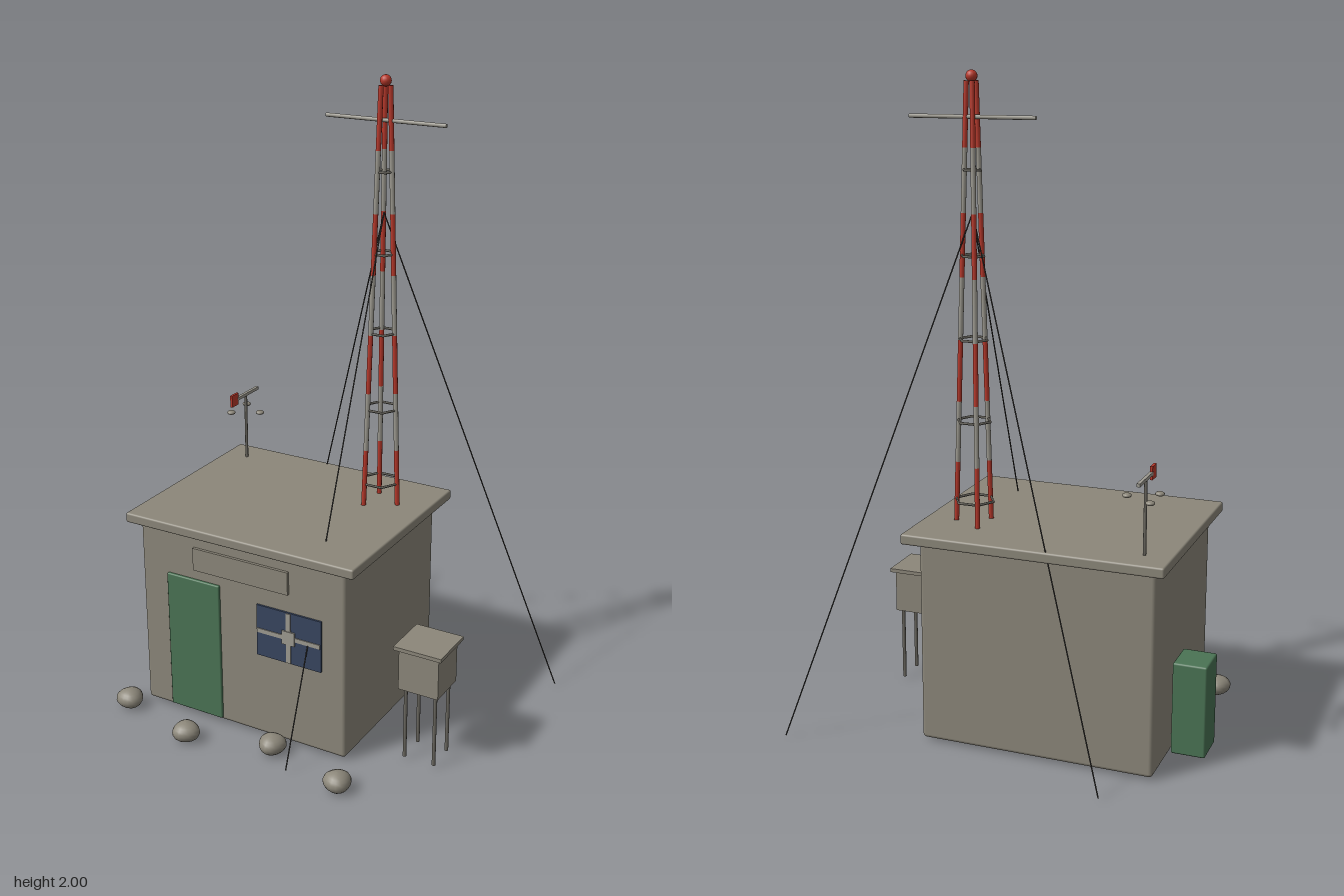
import * as THREE from 'three';
import { RoundedBoxGeometry } from 'three/addons/geometries/RoundedBoxGeometry.js';

const mat = (name, color) => {
  const m = new THREE.MeshStandardMaterial({ color });
  m.name = name;
  return m;
};

export function createModel() {
  const concrete = mat('concrete', 0x8c877a);
  const green = mat('green paint', 0x4a7354);
  const glass = mat('dark blue glass', 0x38455f);
  const red = mat('red paint', 0xb8382a);
  const pale = mat('pale steel', 0x9d9a90);
  const steel = mat('steel', 0x6b6860);
  const cable = mat('cable', 0x3c3a37);

  const model = new THREE.Group();
  model.name = 'weatherStation';

  const add = (name, geometry, material, parent = model) => {
    const mesh = new THREE.Mesh(geometry, material);
    mesh.name = name;
    parent.add(mesh);
    return mesh;
  };
  // Box from its limits, with an optional edge radius
  const box = (name, [x0, x1], [y0, y1], [z0, z1], material, r = 0, parent = model) => {
    const s = [x1 - x0, y1 - y0, z1 - z0];
    const g = r ? new RoundedBoxGeometry(...s, 2, r) : new THREE.BoxGeometry(...s);
    const mesh = add(name, g, material, parent);
    mesh.position.set((x0 + x1) / 2, (y0 + y1) / 2, (z0 + z1) / 2);
    return mesh;
  };
  // Round bar between two points
  const up = new THREE.Vector3(0, 1, 0);
  const bar = (name, a, b, r, material, parent = model, sides = 8) => {
    const dir = b.clone().sub(a);
    const mesh = add(name, new THREE.CylinderGeometry(r, r, dir.length(), sides), material, parent);
    mesh.position.copy(a).add(b).multiplyScalar(0.5);
    mesh.quaternion.setFromUnitVectors(up, dir.normalize());
    return mesh;
  };
  const v = (x, y, z) => new THREE.Vector3(x, y, z);

  // Hut
  box('walls', [-0.51, 0.22], [0.01, 0.65], [-0.305, 0.28], concrete, 0.012);
  box('roof', [-0.545, 0.26], [0.64, 0.672], [-0.35, 0.31], concrete, 0.006);
  box('door', [-0.412, -0.22], [0.02, 0.488], [0.27, 0.289], green, 0.004);
  box('signBoard', [-0.312, 0.027], [0.522, 0.597], [0.27, 0.289], concrete);
  box('window', [-0.085, 0.14], [0.29, 0.462], [0.27, 0.286], glass);

  // Window grille
  const grille = new THREE.Group();
  grille.name = 'windowGrille';
  model.add(grille);
  box('grilleUpright', [0.02, 0.036], [0.292, 0.46], [0.284, 0.289], pale, 0, grille);
  box('grilleCrossbar', [-0.083, 0.138], [0.37, 0.384], [0.284, 0.289], pale, 0, grille);
  box('grilleCentre', [0.006, 0.05], [0.355, 0.4], [0.284, 0.291], pale, 0, grille);

  // Cabinet on the side wall
  box('cabinet', [-0.62, -0.515], [0.01, 0.3], [-0.13, -0.01], green, 0.006);

  // Instrument shelter on four legs
  const shelter = new THREE.Group();
  shelter.name = 'instrumentShelter';
  model.add(shelter);
  box('shelterBox', [0.353, 0.484], [0.25, 0.388], [0.064, 0.193], concrete, 0, shelter);
  box('shelterLid', [0.341, 0.497], [0.386, 0.398], [0.05, 0.207], concrete, 0, shelter);
  for (const x of [0.37, 0.468])
    for (const z of [0.083, 0.174])
      bar('shelterLeg', v(x, 0.01, z), v(x, 0.252, z), 0.006, steel, shelter);

  // Lattice tower: three leaning legs in red and pale bands
  const tower = new THREE.Group();
  tower.name = 'tower';
  tower.position.set(0.1, 0, -0.162);
  model.add(tower);
  const base = 0.67, top = 1.97, bands = 7;
  const radiusAt = (y) => 0.061 - 0.045 * (y - base) / (top - base);
  for (let leg = 0; leg < 3; leg++) {
    const a = leg * Math.PI * 2 / 3;
    const point = (t) => {
      const y = base + (top - base) * t;
      return v(Math.cos(a) * radiusAt(y), y, Math.sin(a) * radiusAt(y));
    };
    for (let i = 0; i < bands; i++)
      bar('towerLeg', point(i / bands), point((i + 1) / bands), 0.008, i % 2 ? pale : red, tower);
  }
  // Six-sided bracing rings
  for (let i = 0; i < 5; i++) {
    const y = 0.742 + i * 0.245;
    const ring = add('towerRing', new THREE.TorusGeometry(radiusAt(y) + 0.002, 0.004, 6, 6), steel, tower);
    ring.rotation.x = Math.PI / 2;
    ring.position.y = y;
  }
  bar('antenna', v(-0.195, 1.87, 0), v(0.195, 1.87, 0), 0.006, pale, tower);
  add('beacon', new THREE.SphereGeometry(0.017, 16, 12), red, tower).position.y = 1.983;

  // Guy wires
  for (const [x, z] of [[0.615, -0.446], [-0.402, -0.467], [0.094, 0.42]])
    bar('guyWire', v(0.1, 1.6, -0.162), v(x, 0.01, z), 0.002, cable, model, 6);

  // Wind vane and cups on the roof
  const vane = new THREE.Group();
  vane.name = 'windVane';
  vane.position.set(-0.462, 0, -0.262);
  model.add(vane);
  bar('vaneMast', v(0, 0.66, 0), v(0, 0.9, 0), 0.005, steel, vane);
  box('vaneArm', [-0.005, 0.005], [0.892, 0.902], [-0.073, 0.055], pale, 0, vane);
  box('vaneTail', [-0.004, 0.004], [0.878, 0.918], [0.05, 0.088], red, 0, vane);
  for (let i = 0; i < 3; i++) {
    const a = i * Math.PI * 2 / 3;
    const cup = add('windCup', new THREE.SphereGeometry(0.014, 12, 8), concrete, vane);
    cup.scale.y = 0.5;
    cup.position.set(Math.cos(a) * 0.055, 0.842, Math.sin(a) * 0.055);
  }

  // Rounded stones along the front
  [[-0.535, 0.348], [-0.267, 0.42], [0.003, 0.348], [0.272, 0.42]].forEach(([x, z], i) => {
    const g = new THREE.SphereGeometry(0.043, 16, 12);
    const p = g.attributes.position;
    for (let k = 0; k < p.count; k++) {
      const a = Math.atan2(p.getZ(k), p.getX(k));
      const bump = 1 + 0.05 * Math.sin(3 * a + i * 1.7);
      p.setXYZ(k, p.getX(k) * bump, p.getY(k) * 0.73, p.getZ(k) * bump);
    }
    g.computeVertexNormals();
    add('stone', g, concrete).position.set(x, 0.033, z);
  });

  return model;
}
